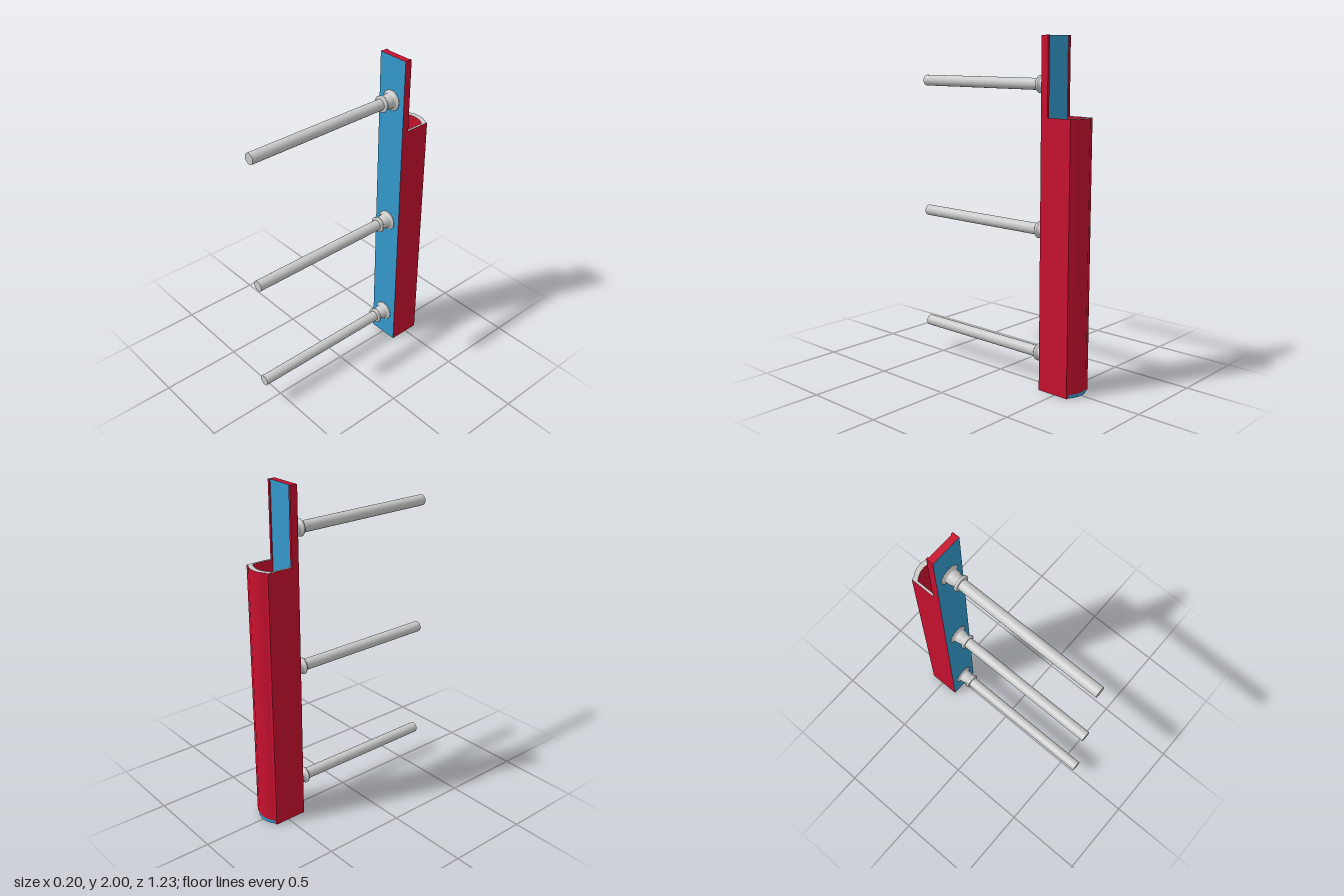
import * as THREE from 'three';

const material = (color) => new THREE.MeshStandardMaterial({ color });
const grey = material(0xcccccc);
const red = material(0xc8102e);
const blue = material(0x3399cc);

const TOP = 1.56, FLOOR = 0.02;

// Points of a shallow arch from +half to -half, rising from base to crown
function arch(half, base, crown, steps = 12) {
  const rise = crown - base;
  const r = (half * half + rise * rise) / (2 * rise);
  const a = Math.asin(half / r);
  return Array.from({ length: steps + 1 }, (_, i) => {
    const t = a - (2 * a * i) / steps;
    return new THREE.Vector2(r * Math.sin(t), crown - r + r * Math.cos(t));
  });
}

// Extrude a plan outline (x, distance behind centre) upwards from y0 to y1
function upright(name, points, y0, y1, materials) {
  const geo = new THREE.ExtrudeGeometry(new THREE.Shape(points), {
    depth: y1 - y0, bevelEnabled: false,
  });
  geo.rotateX(-Math.PI / 2).translate(0, y0, 0);
  const mesh = new THREE.Mesh(geo, materials);
  mesh.name = name;
  return mesh;
}

function box(name, w, h, d, x, y, z, materials) {
  const mesh = new THREE.Mesh(new THREE.BoxGeometry(w, h, d), materials);
  mesh.position.set(x, y, z);
  mesh.name = name;
  return mesh;
}

// Turned peg, profile given as [radius, z] from the plate to the tip
function peg(y) {
  const profile = [
    [0, -0.386], [0.062, -0.386], [0.062, -0.38], [0.057, -0.376],
    [0.044, -0.374], [0.044, -0.362], [0.042, -0.345], [0.037, -0.333],
    [0.036, -0.325], [0.04, -0.317], [0.047, -0.314], [0.05, -0.31],
    [0.05, -0.302], [0.047, -0.298], [0.033, -0.297], [0.033, -0.297],
    [0.033, 0.615], [0.033, 0.615], [0, 0.615],
  ].map(([r, z]) => new THREE.Vector2(r, z));
  const geo = new THREE.LatheGeometry(profile, 32).rotateX(Math.PI / 2);
  const mesh = new THREE.Mesh(geo, grey);
  mesh.position.y = y;
  mesh.name = 'peg';
  return mesh;
}

export function createModel() {
  const model = new THREE.Group();
  model.name = 'pegRail';

  // Tall mounting plate: blue faces, red edges, raised rims at the back
  model.add(box('plate', 0.196, 2, 0.039, 0, 1, -0.4045, [red, red, red, red, blue, blue]));
  for (const s of [-1, 1]) {
    model.add(box('plateRim', 0.014, 2, 0.006, s * 0.091, 1, -0.427, red));
  }

  // Hollow channel behind the plate, with an arched back and grey rim
  const outline = [
    new THREE.Vector2(0.098, 0.43), new THREE.Vector2(0.098, 0.586),
    ...arch(0.08, 0.588, 0.615),
    new THREE.Vector2(-0.098, 0.586), new THREE.Vector2(-0.098, 0.43),
    new THREE.Vector2(-0.084, 0.43),
    ...arch(0.084, 0.553, 0.584).reverse(),
    new THREE.Vector2(0.084, 0.43),
  ];
  model.add(upright('channel', outline, FLOOR, TOP, [grey, red]));

  // Closed foot of the channel with a blue curved band
  model.add(box('channelFloor', 0.196, FLOOR, 0.156, 0, FLOOR / 2, -0.508, red));
  model.add(upright('footBand',
    [new THREE.Vector2(0.08, 0.58), ...arch(0.08, 0.588, 0.615), new THREE.Vector2(-0.08, 0.58)],
    0, FLOOR, [red, blue]));

  // Three pegs
  for (const y of [0.185, 0.915, 1.735]) model.add(peg(y));
  return model;
}
